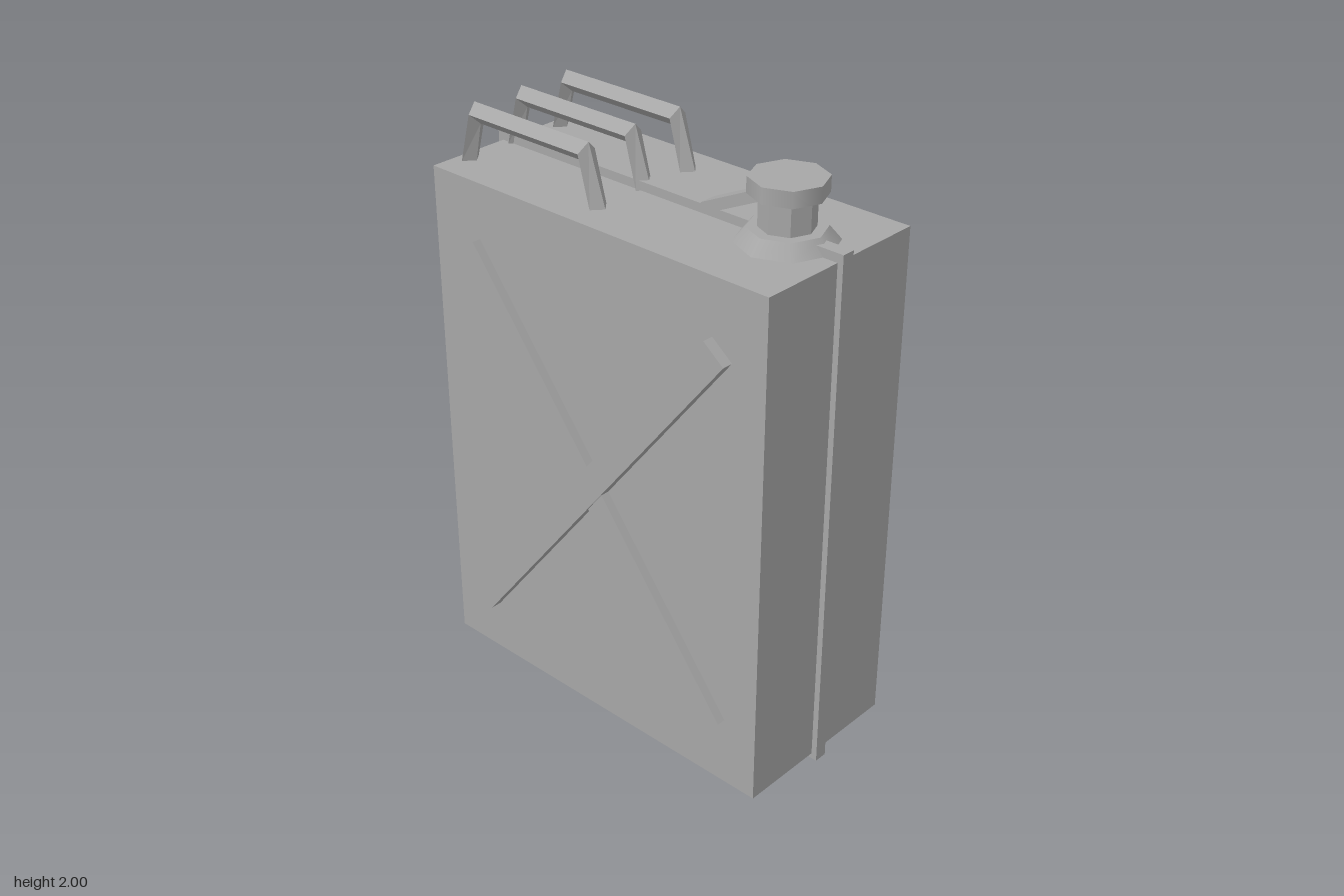
import * as THREE from 'three';

export function createModel() {
  const group = new THREE.Group();
  const grey = new THREE.MeshStandardMaterial({ color: 0xa6a6a6 });
  grey.name = 'greyMetal';

  function add(name, geometry, x = 0, y = 0, z = 0) {
    const mesh = new THREE.Mesh(geometry, grey);
    mesh.name = name;
    mesh.position.set(x, y, z);
    group.add(mesh);
    return mesh;
  }

  // Box-shaped can with a thin welded seam running round its middle
  add('body', new THREE.BoxGeometry(0.642, 1.78, 1.374), 0, 0.91, 0);
  add('seam', new THREE.BoxGeometry(0.046, 1.83, 1.414), 0, 0.915, 0);

  // Crossed stiffening ribs on both sides; one rib lies slightly above the other
  const ribAngle = Math.atan2(1.34, 1.045);
  for (const side of [-1, 1]) {
    for (const [tilt, outer] of [[1, 0.359], [-1, 0.352]]) {
      const depth = outer - 0.3;
      const rib = add(side > 0 ? 'leftRib' : 'rightRib',
        new THREE.BoxGeometry(depth, 0.096, 1.7), side * (0.3 + depth / 2), 0.91, 0);
      rib.rotation.x = -tilt * ribAngle;
    }
  }

  // Carrying handles: a diamond section swept up, along and down with mitred corners
  const handleGeometry = makeHandle();
  for (const [name, x] of [['rightHandle', -0.2], ['middleHandle', 0], ['leftHandle', 0.2]]) {
    add(name, handleGeometry, x, 0, -0.365);
  }

  // Octagonal spout: flared collar, neck and cap
  const spoutZ = 0.484;
  add('spoutCollar', new THREE.CylinderGeometry(0.122, 0.16, 0.045, 8), 0, 1.8225, spoutZ);
  const neck = new THREE.CylinderGeometry(0.087, 0.087, 0.11, 8).toNonIndexed();
  neck.computeVertexNormals();
  add('spoutNeck', neck, 0, 1.895, spoutZ);
  add('spoutCap', new THREE.CylinderGeometry(0.121, 0.121, 0.052, 8), 0, 1.974, spoutZ);

  // Sloping locking lever behind the cap
  const lever = add('capLever', new THREE.BoxGeometry(0.062, 0.036, 0.28), 0, 1.882, 0.313);
  lever.rotation.x = -Math.atan2(20, 42);

  return group;
}

// Each ring lists outer ridge, side edge and inner ridge as z, y pairs
function makeHandle() {
  const half = 0.036;
  const foot = [[0.315, 1.8], [0.284, 1.8], [0.254, 1.8]];
  const corner = [[0.25, 1.997], [0.239, 1.965], [0.226, 1.93]];
  const flip = (ring) => ring.map(([z, y]) => [-z, y]);
  const rings = [foot, corner, flip(corner), flip(foot)].map(([o, m, i]) => [
    [0, o[1], o[0]], [half, m[1], m[0]], [0, i[1], i[0]], [-half, m[1], m[0]],
  ]);

  const points = [];
  const quad = (a, b, c, d) => points.push(...a, ...b, ...c, ...a, ...c, ...d);
  for (let r = 0; r < 3; r++) {
    for (let k = 0; k < 4; k++) {
      const n = (k + 1) % 4;
      quad(rings[r][k], rings[r][n], rings[r + 1][n], rings[r + 1][k]);
    }
  }
  // Closed feet
  const [a, b, c, d] = rings[0];
  quad(d, c, b, a);
  quad(...rings[3]);

  const geometry = new THREE.BufferGeometry();
  geometry.setAttribute('position', new THREE.Float32BufferAttribute(points, 3));
  geometry.computeVertexNormals();
  return geometry;
}
